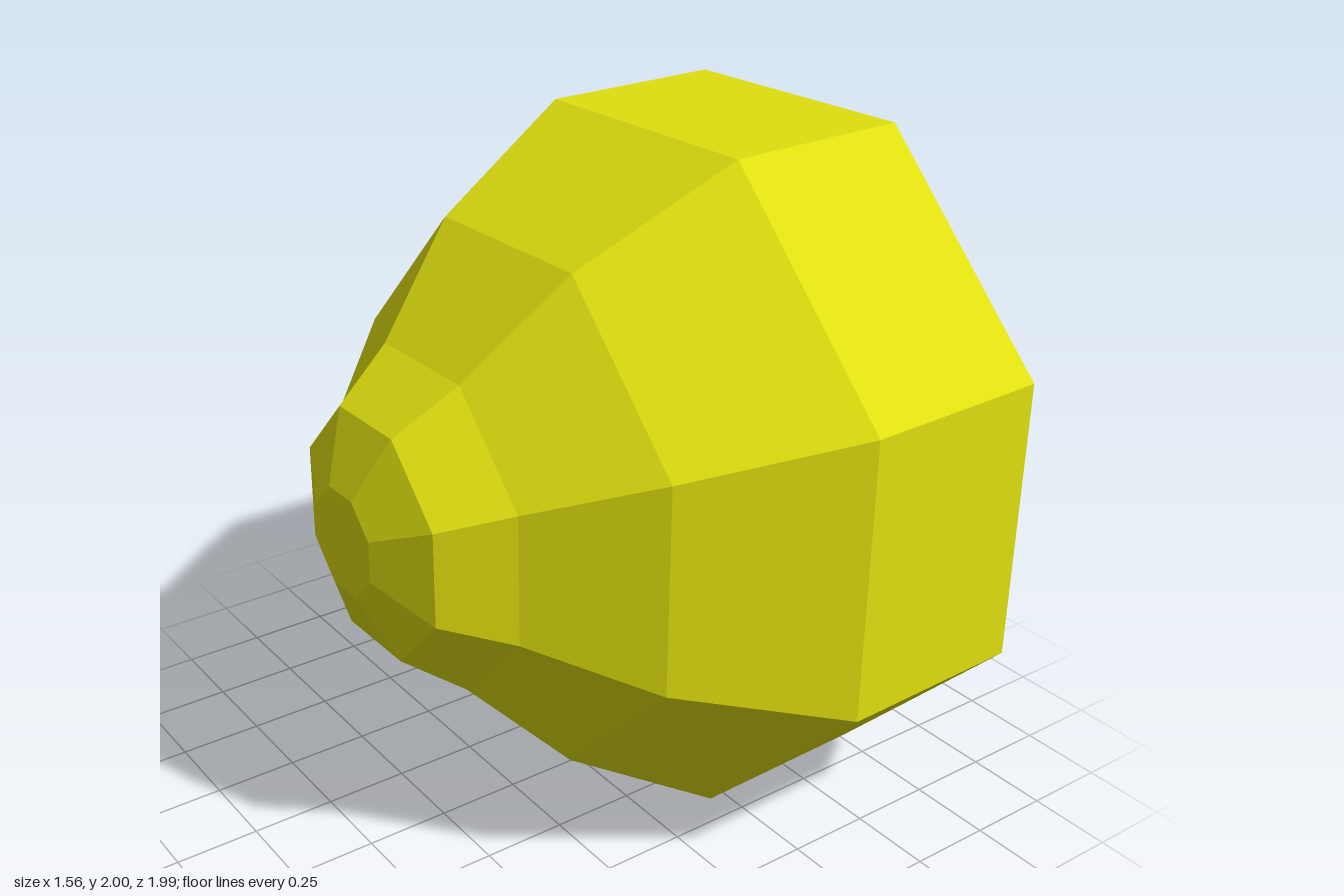
import * as THREE from 'three';

const SIDES = 8;
const ROLL = 0.013; // slight twist about the long axis
const LEAN = 0.015; // each ring leans slightly along x

// A ring is [x, centre y, radius]; returns its corner k
function corner([x, y, r], k) {
  const a = ((k + 0.5) / SIDES) * Math.PI * 2 + ROLL;
  const dy = r * Math.sin(a);
  return [x + LEAN * dy, y + dy, r * Math.cos(a)];
}

// Joins successive rings with quads, optionally closing the first or last ring
function skin(name, rings, material, { capStart = false, capEnd = false } = {}) {
  const pos = [];
  const tri = (...points) => points.forEach((p) => pos.push(...p));
  for (let k = 0; k < SIDES; k++) {
    for (let i = 0; i + 1 < rings.length; i++) {
      const a = corner(rings[i], k), b = corner(rings[i + 1], k);
      const c = corner(rings[i + 1], k + 1), d = corner(rings[i], k + 1);
      tri(a, b, c);
      tri(a, c, d);
    }
    const first = rings[0], last = rings[rings.length - 1];
    if (capStart) tri([first[0], first[1], 0], corner(first, k), corner(first, k + 1));
    if (capEnd) tri([last[0], last[1], 0], corner(last, k + 1), corner(last, k));
  }
  const geometry = new THREE.BufferGeometry();
  geometry.setAttribute('position', new THREE.Float32BufferAttribute(pos, 3));
  geometry.computeVertexNormals(); // unshared corners give flat facets
  const mesh = new THREE.Mesh(geometry, material);
  mesh.name = name;
  return mesh;
}

export function createModel() {
  const yellow = new THREE.MeshStandardMaterial({ color: 0xe0e010 });
  yellow.name = 'yellow';
  const grey = new THREE.MeshStandardMaterial({ color: 0xe0e0e0 });
  grey.name = 'lightGrey';

  const group = new THREE.Group();
  group.name = 'facetedBell';

  // Outer shell from the small blunt nose to the wide end
  const rim = [0.765, 1.01, 1.07];
  const shell = [
    [-0.78, 1.015, 0.156],
    [-0.695, 1.013, 0.358],
    [-0.518, 1.01, 0.495],
    [-0.245, 1.008, 0.797],
    [0.205, 0.998, 1.072],
    rim,
  ];
  group.add(skin('shell', shell, yellow, { capStart: true }));

  // Flat end face: border, panel and central spot
  const panel = [0.765, 1.01, 0.953];
  const spot = [0.765, 1.01, 0.108];
  group.add(skin('endBorder', [rim, panel], grey));
  group.add(skin('endPanel', [panel, spot], yellow));
  group.add(skin('endSpot', [spot], grey, { capEnd: true }));

  return group;
}
